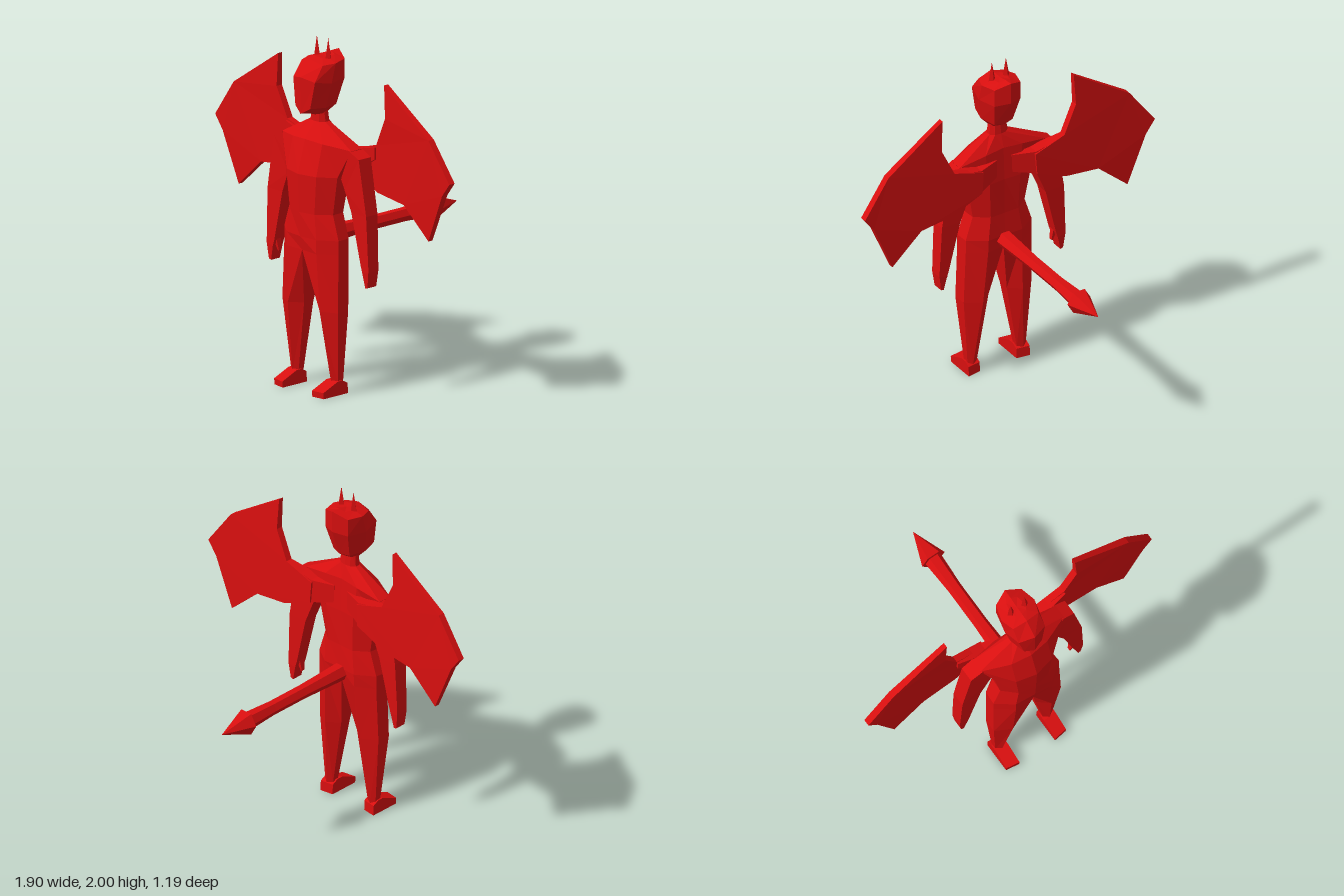
import * as THREE from 'three';

// Closed skin over a list of rings (each a loop of [x, y, z]) with flat end caps
function loft(rings) {
  const tris = [];
  const n = rings[0].length;
  for (let r = 0; r < rings.length - 1; r++) {
    for (let i = 0; i < n; i++) {
      const j = (i + 1) % n;
      const a = rings[r][i], b = rings[r][j], c = rings[r + 1][j], d = rings[r + 1][i];
      tris.push([a, b, c], [a, c, d]);
    }
  }
  const cap = (ring, flip) => {
    const mid = [0, 1, 2].map((k) => ring.reduce((sum, p) => sum + p[k], 0) / n);
    ring.forEach((p, i) => {
      const q = ring[(i + 1) % n];
      tris.push(flip ? [mid, q, p] : [mid, p, q]);
    });
  };
  cap(rings[0], true);
  cap(rings[rings.length - 1], false);
  // Turn all faces outward, whichever way the rings run
  const v = (p) => new THREE.Vector3(...p);
  const volume = tris.reduce((s, [a, b, c]) => s + v(a).dot(v(b).cross(v(c))), 0);
  if (volume < 0) tris.forEach((t) => t.reverse());
  const geo = new THREE.BufferGeometry();
  geo.setAttribute('position', new THREE.Float32BufferAttribute(tris.flat(2), 3));
  geo.computeVertexNormals();
  return geo;
}

// Half ring from front centre to back centre, completed by mirroring
const whole = (half) => [
  ...half,
  ...half.slice(1, -1).reverse().map(([x, y, z]) => [-x, y, z]),
];
// Ring at one height from [x, z] pairs
const level = (y, pts) => pts.map(([x, z]) => [x, y, z]);

export function createModel() {
  const model = new THREE.Group();
  const red = new THREE.MeshStandardMaterial({ color: 0xd80f0f, flatShading: true });
  red.name = 'red';
  const add = (name, geo) => {
    const mesh = new THREE.Mesh(geo, red);
    mesh.name = name;
    model.add(mesh);
    return mesh;
  };

  // Torso, from neck to hips
  add('torso', loft([
    level(1.62, [[0, 0.465], [0.03, 0.46], [0.045, 0.44], [0.045, 0.42], [0.03, 0.4], [0, 0.395]]),
    level(1.53, [[0, 0.47], [0.035, 0.465], [0.06, 0.44], [0.06, 0.41], [0.035, 0.39], [0, 0.385]]),
    [[0, 1.44, 0.54], [0.12, 1.43, 0.52], [0.28, 1.41, 0.45], [0.28, 1.41, 0.37], [0.12, 1.44, 0.355], [0, 1.45, 0.36]],
    level(1.25, [[0, 0.593], [0.12, 0.565], [0.21, 0.49], [0.21, 0.4], [0.1, 0.345], [0, 0.35]]),
    level(1.03, [[0, 0.583], [0.1, 0.56], [0.175, 0.49], [0.17, 0.41], [0.09, 0.35], [0, 0.35]]),
    level(0.89, [[0, 0.575], [0.12, 0.565], [0.22, 0.49], [0.215, 0.41], [0.11, 0.34], [0, 0.345]]),
    level(0.81, [[0, 0.56], [0.12, 0.565], [0.22, 0.49], [0.215, 0.41], [0.11, 0.345], [0, 0.36]]),
  ].map(whole)));

  // Head, chin to crown
  add('head', loft([
    [[0, 1.577, 0.5], [0.03, 1.577, 0.49], [0.045, 1.577, 0.45], [0.035, 1.577, 0.41], [0, 1.577, 0.4]],
    [[0, 1.59, 0.572], [0.06, 1.625, 0.555], [0.085, 1.62, 0.46], [0.06, 1.62, 0.36], [0, 1.62, 0.34]],
    [[0, 1.8, 0.575], [0.088, 1.78, 0.545], [0.11, 1.76, 0.44], [0.085, 1.77, 0.32], [0, 1.78, 0.285]],
    [[0, 1.885, 0.495], [0.085, 1.865, 0.485], [0.11, 1.87, 0.41], [0.085, 1.875, 0.32], [0, 1.91, 0.285]],
    [[0, 1.895, 0.45], [0.035, 1.89, 0.44], [0.05, 1.89, 0.41], [0.035, 1.895, 0.35], [0, 1.905, 0.34]],
  ].map(whole)));

  // Tail and its arrow tip: hexagonal, running straight back
  const hex = (z, r) => Array.from({ length: 6 }, (_, i) => {
    const a = (i * Math.PI) / 3;
    return [r * Math.cos(a), 0.862 + r * Math.sin(a), z];
  });
  add('tail', loft([hex(0.37, 0.052), hex(0.05, 0.04), hex(-0.2, 0.04), hex(-0.41, 0.052)]));
  add('tailTip', loft([hex(-0.4, 0.075), hex(-0.595, 0.0005)]));

  for (const s of [1, -1]) {
    const side = s > 0 ? 'left' : 'right';
    const mirror = (rings) => rings.map((ring) => ring.map(([x, y, z]) => [s * x, y, z]));
    const pair = (name, rings) => add(side + name, loft(mirror(rings)));

    // Leg
    pair('Leg', [
      level(0.81, [[0, 0.56], [0.12, 0.565], [0.22, 0.49], [0.215, 0.41], [0.11, 0.345], [0, 0.36]]),
      level(0.48, [[0.06, 0.49], [0.13, 0.548], [0.225, 0.5], [0.222, 0.42], [0.13, 0.365], [0.06, 0.42]]),
      level(0.06, [[0.132, 0.465], [0.16, 0.485], [0.19, 0.465], [0.19, 0.43], [0.165, 0.413], [0.132, 0.43]]),
    ]);

    // Foot, with a sloping instep and toes turned slightly out
    const sole = [[0, 0.41], [0, 0.59], [0.035, 0.593], [0.08, 0.485], [0.08, 0.45], [0.06, 0.412]];
    pair('Foot', [0.12, 0.2].map((x, i) => sole.map(([y, z]) => [x, y, z + (i ? -0.008 : 0.004)])));

    // Arm and hand: box sections given by inner and outer edge
    const box = ([xi, yi, xo, yo, zf, zb]) => [[xi, yi, zf], [xo, yo, zf], [xo, yo, zb], [xi, yi, zb]];
    pair('Arm', [
      [0.2, 1.25, 0.27, 1.412, 0.46, 0.365],
      [0.23, 1.18, 0.345, 1.375, 0.455, 0.365],
      [0.28, 1.06, 0.4, 1.06, 0.45, 0.365],
      [0.35, 0.77, 0.412, 0.77, 0.445, 0.37],
    ].map(box));
    pair('Hand', [
      [0.35, 0.77, 0.412, 0.77, 0.445, 0.37],
      [0.363, 0.73, 0.412, 0.74, 0.445, 0.37],
      [0.382, 0.645, 0.4, 0.65, 0.44, 0.375],
    ].map(box));
    pair('Thumb', [
      [0.35, 0.77, 0.375, 0.765, 0.43, 0.395],
      [0.34, 0.705, 0.348, 0.7, 0.42, 0.4],
    ].map(box));

    // Horn
    const horn = add(side + 'Horn', new THREE.ConeGeometry(0.024, 0.13, 4));
    horn.position.set(s * 0.046, 1.935, 0.407);

    // Wing: thin membrane, leaning forward a little above the shoulder
    const outline = [
      [0.17, 1.38], [0.36, 1.44], [0.44, 1.61], [0.43, 1.8], [0.79, 1.56], [0.95, 1.34],
      [0.89, 1.26], [0.77, 0.975], [0.58, 1.145], [0.37, 1.17], [0.18, 1.25],
    ].map(([x, y]) => new THREE.Vector2(s * x, y));
    const wing = new THREE.ExtrudeGeometry(new THREE.Shape(outline), { depth: 0.04, bevelEnabled: false });
    const pos = wing.attributes.position;
    for (let i = 0; i < pos.count; i++) {
      const lean = Math.max(0, pos.getY(i) - 1.34) * 0.04;
      const tip = pos.getY(i) < 1 || pos.getY(i) > 1.7 ? 0.75 : 1;
      pos.setZ(i, 0.295 + lean + pos.getZ(i) * tip);
    }
    wing.computeVertexNormals();
    add(side + 'Wing', wing);

    // Wing root, joining the membrane to the back
    pair('WingRoot', [
      [0.05, 1.28, 0.05, 1.39, 0.39, 0.35],
      [0.18, 1.25, 0.18, 1.39, 0.38, 0.305],
      [0.36, 1.36, 0.36, 1.43, 0.35, 0.305],
    ].map(box));
  }
  return model;
}
